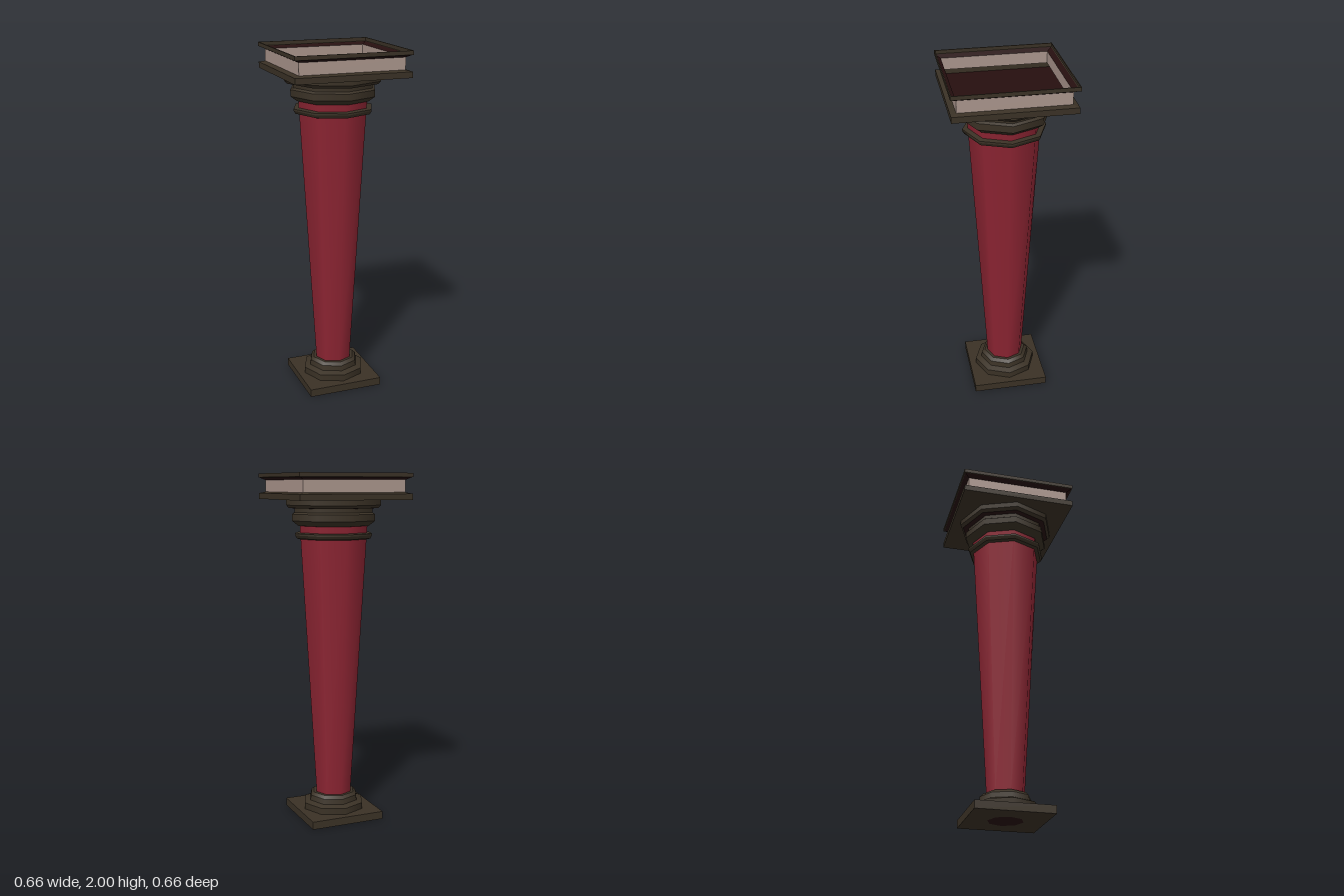
import * as THREE from 'three';
import { mergeGeometries } from 'three/addons/utils/BufferGeometryUtils.js';

const material = (name, color) =>
  new THREE.MeshStandardMaterial({ name, color, side: THREE.DoubleSide });

// Stacked open bands through [radius, y] points: sharp along the profile, smooth around
function roundBands(points) {
  const bands = [];
  for (let i = 0; i < points.length - 1; i++) {
    const [r0, y0] = points[i], [r1, y1] = points[i + 1];
    const g = new THREE.CylinderGeometry(r1, r0, y1 - y0, 8, 1, true);
    g.translate(0, (y0 + y1) / 2, 0);
    bands.push(g);
  }
  return mergeGeometries(bands);
}

// Square bands through [half width, y] points, flat faced
function squareBands(points) {
  const bands = [];
  for (let i = 0; i < points.length - 1; i++) {
    const [h0, y0] = points[i], [h1, y1] = points[i + 1];
    const g = new THREE.CylinderGeometry(h1 * Math.SQRT2, h0 * Math.SQRT2, y1 - y0, 4, 1, true, Math.PI / 4);
    g.translate(0, (y0 + y1) / 2, 0);
    bands.push(g.toNonIndexed());
  }
  const merged = mergeGeometries(bands);
  merged.computeVertexNormals();
  return merged;
}

// Horizontal square sheet, facing up or down
function sheet(half, y, up) {
  const g = new THREE.PlaneGeometry(half * 2, half * 2);
  g.rotateX(up ? -Math.PI / 2 : Math.PI / 2);
  return g.translate(0, y, 0);
}

export function createModel() {
  const red = material('shaftRed', 0x8c2432);
  const brown = material('darkBronze', 0x3a3125);
  const pale = material('paleStone', 0xaa958c);
  const maroon = material('deepMaroon', 0x260f0f);

  const model = new THREE.Group();
  model.name = 'column';
  const add = (name, geometry, mat, parent = model) => {
    const mesh = new THREE.Mesh(geometry, mat);
    mesh.name = name;
    parent.add(mesh);
    return mesh;
  };
  const section = (name) => {
    const g = new THREE.Group();
    g.name = name;
    model.add(g);
    return g;
  };

  // Base: square plinth with a round moulding
  const base = section('base');
  const plinth = new THREE.BoxGeometry(0.44, 0.045, 0.44).translate(0, 0.0225, 0);
  add('plinth', plinth, brown, base);
  add('baseMoulding', roundBands([
    [0.182, 0.045], [0.182, 0.082], [0.148, 0.095], [0.143, 0.125], [0.125, 0.142], [0.1, 0.143],
  ]), brown, base);
  const socket = new THREE.CircleGeometry(0.1, 8).rotateX(Math.PI / 2).translate(0, -0.001, 0);
  add('baseSocket', socket, maroon, base);

  // Shaft, wider towards the top, with a collar ring
  add('shaft', roundBands([[0.107, 0.13], [0.205, 1.72]]), red);
  add('collarRing', roundBands([
    [0.2, 1.635], [0.222, 1.64], [0.232, 1.657], [0.232, 1.667], [0.2, 1.672],
  ]), brown);

  // Capital: stepped round mouldings
  const capital = section('capital');
  add('lowerMoulding', roundBands([
    [0.195, 1.708], [0.212, 1.71], [0.25, 1.738], [0.25, 1.775], [0.235, 1.785], [0.235, 1.808],
  ]), brown, capital);
  add('stepUnderside', roundBands([[0.235, 1.807], [0.268, 1.809]]), maroon, capital);
  add('upperMoulding', roundBands([
    [0.268, 1.809], [0.284, 1.825], [0.284, 1.856],
  ]), brown, capital);

  // Abacus: open square tray with flared rim
  const abacus = section('abacus');
  add('abacusUnderside', sheet(0.33, 1.855, false), brown, abacus);
  add('abacusFloor', sheet(0.328, 1.861, true), maroon, abacus);
  add('abacusSlab', squareBands([[0.33, 1.855], [0.33, 1.888], [0.3, 1.896]]), brown, abacus);
  add('abacusFrieze', squareBands([[0.3, 1.896], [0.3, 1.963]]), pale, abacus);
  add('abacusFlare', squareBands([[0.3, 1.963], [0.327, 1.977]]), maroon, abacus);
  add('abacusRim', squareBands([[0.327, 1.977], [0.332, 1.978], [0.332, 2], [0.326, 1.9995 + 0.0005]]), brown, abacus);

  return model;
}
